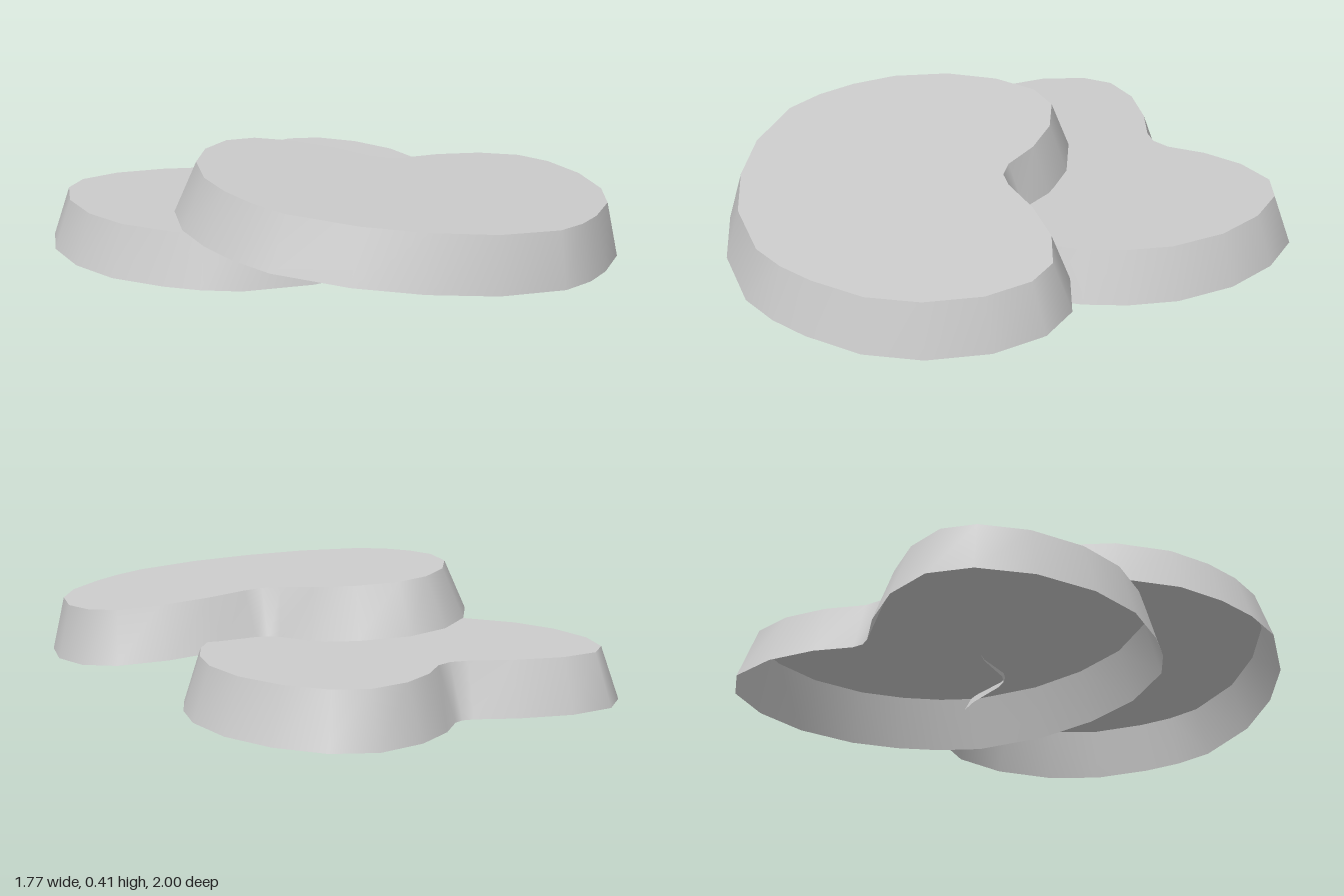
import * as THREE from 'three';

// Kidney-shaped outline of a shell's rim, as x, z pairs
const OUTLINE = [
  -0.612, 0.25, -0.575, 0.04, -0.482, -0.14, -0.35, -0.27, -0.2, -0.31, -0.035, -0.25, 0.095, -0.143,
  0.175, -0.035, 0.21, -0.014, 0.25, -0.014, 0.395, -0.052, 0.585, -0.066, 0.753, -0.02, 0.848, 0.095,
  0.888, 0.28, 0.863, 0.49, 0.783, 0.67, 0.648, 0.82, 0.542, 0.905, 0.417, 0.97, 0.17, 0.997,
  -0.06, 0.953, -0.27, 0.863, -0.472, 0.703, -0.548, 0.567, -0.593, 0.422,
];
const HEIGHT = 0.18, INSET = 0.058, TOP_SHIFT = 0.007;

// Outline as counter-clockwise points in the (x, -z) plane
function outlinePoints(flip) {
  const points = [];
  for (let i = 0; i < OUTLINE.length; i += 2) {
    points.push(new THREE.Vector2(flip * OUTLINE[i], -OUTLINE[i + 1]));
  }
  return THREE.ShapeUtils.isClockWise(points) ? points.reverse() : points;
}

// Moves every corner inwards so that all edges shift by the same distance
function insetPoints(points, distance) {
  const n = points.length;
  const inward = (a, b) => new THREE.Vector2(a.y - b.y, b.x - a.x).normalize();
  return points.map((p, i) => {
    const n1 = inward(points[(i + n - 1) % n], p);
    const n2 = inward(p, points[(i + 1) % n]);
    return n1.clone().add(n2).multiplyScalar(distance / (1 + n1.dot(n2))).add(p);
  });
}

// Shell with smooth sloping sides and a flat, sharp-edged top, open below
function shellGeometry(flip) {
  const base = outlinePoints(flip), n = base.length;
  const top = insetPoints(base, INSET);
  top.forEach((p) => { p.y -= TOP_SHIFT; });
  const positions = [], index = [];
  const addRing = (ring, y) => ring.forEach((p) => positions.push(p.x, y, -p.y));
  // two rings for the sides, one more for the top
  addRing(base, 0);
  addRing(top, HEIGHT);
  addRing(top, HEIGHT);
  for (let i = 0; i < n; i++) {
    const j = (i + 1) % n;
    index.push(i, j, n + j, i, n + j, n + i);
  }
  for (const [a, b, c] of THREE.ShapeUtils.triangulateShape(top, [])) {
    index.push(2 * n + a, 2 * n + b, 2 * n + c);
  }
  const geometry = new THREE.BufferGeometry();
  geometry.setAttribute('position', new THREE.Float32BufferAttribute(positions, 3));
  geometry.setIndex(index);
  geometry.computeVertexNormals();
  return geometry;
}

export function createModel() {
  const model = new THREE.Group();
  const material = new THREE.MeshStandardMaterial({ color: 0xcccccc, side: THREE.DoubleSide });

  // Lower shell, mirrored, lying almost flat behind
  const lower = new THREE.Mesh(shellGeometry(-1), material);
  lower.name = 'lowerShell';
  lower.position.set(0, 0.002, -0.688);
  lower.rotation.set(-0.006, 0, 0.002);

  // Upper shell, leaning on the lower one and dropping towards +x
  const upper = new THREE.Mesh(shellGeometry(1), material);
  upper.name = 'upperShell';
  upper.position.set(0, 0.187, 0.002);
  upper.rotation.set(0.02, 0, -0.087);

  model.add(lower, upper);
  return model;
}
